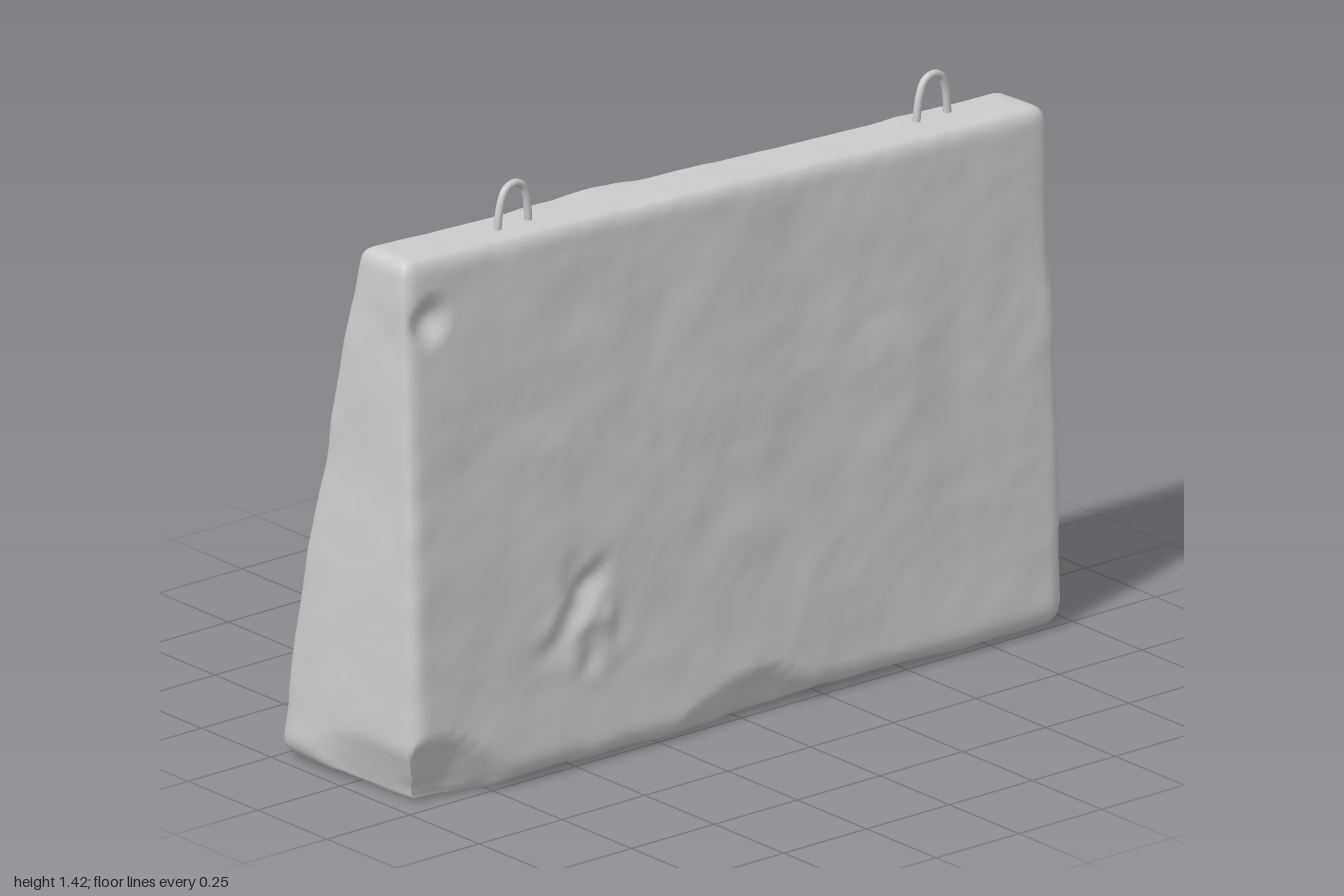
import * as THREE from 'three';
import { mergeVertices } from 'three/addons/utils/BufferGeometryUtils.js';

const { clamp, lerp, smoothstep } = THREE.MathUtils;

// Repeatable 3D value noise, about -1 to 1
function hash(i, j, k) {
  const s = Math.sin(i * 127.1 + j * 311.7 + k * 74.7) * 43758.5453;
  return (s - Math.floor(s)) * 2 - 1;
}
function noise(x, y, z) {
  const i = Math.floor(x), j = Math.floor(y), k = Math.floor(z);
  const u = smoothstep(x - i, 0, 1), v = smoothstep(y - j, 0, 1), w = smoothstep(z - k, 0, 1);
  const row = (b, c) => lerp(hash(i, b, c), hash(i + 1, b, c), u);
  const layer = (c) => lerp(row(j, c), row(j + 1, c), v);
  return lerp(layer(k), layer(k + 1), w);
}

// Soft bump: 1 at the centre, 0 from distance 1 outwards
const bump = (d) => (Math.abs(d) < 1 ? (1 - d * d) ** 2 : 0);

// Height of the broken lower front edge along x
function chipHeight(x) {
  const corner = 0.19 * (1 - smoothstep(x, -1.05, -0.5));
  const middle = 0.11 * bump((x + 0.03) / 0.32) + 0.05 * bump((x - 0.32) / 0.2);
  return corner + middle + 0.02 + 0.025 * noise(x * 9, 3.3, 1.7);
}

const HEIGHT = 1.3;

// Wedge-shaped slab with rounded, worn edges
function slabGeometry() {
  let g = new THREE.BoxGeometry(2, HEIGHT, 2, 110, 72, 26);
  g.deleteAttribute('uv');
  g.deleteAttribute('normal');
  g = mergeVertices(g, 1e-4);
  const pos = g.attributes.position;
  const p = new THREE.Vector3(), q = new THREE.Vector3(), n = new THREE.Vector3();

  for (let i = 0; i < pos.count; i++) {
    p.fromBufferAttribute(pos, i);
    p.y += HEIGHT / 2;
    const t = p.y / HEIGHT;
    const front = lerp(0.272, 0.168, t), back = lerp(-0.287, -0.01, t);
    const half = (front - back) / 2, mid = (front + back) / 2;
    p.z *= half;

    // round the edges, more at the foot
    const r = lerp(0.06, 0.032, smoothstep(t, 0, 0.25));
    q.set(clamp(p.x, -1 + r, 1 - r), clamp(p.y, r, HEIGHT - r), clamp(p.z, r - half, half - r));
    n.subVectors(p, q).normalize();
    p.copy(q).addScaledVector(n, r);
    p.z += mid;

    // trimmed corners at the back
    const over = Math.abs(p.x) - 0.9;
    if (over > 0 && p.z < mid) p.z += over * 0.3 * (1 - t) * ((mid - p.z) / half);

    // lean of the two ends and slope of the top
    const s = (p.x + 1) / 2, h = p.y / HEIGHT;
    p.x = lerp(lerp(-0.995, -0.945, h), lerp(0.975, 0.995, h), s);
    p.y = 0.008 + p.y * (lerp(1.325, 1.25, s) - 0.008) / HEIGHT;

    // broken lower front edge and left corner
    const cut = chipHeight(p.x) - p.y;
    if (cut > 0) p.z = Math.min(p.z, front - cut * 0.45 + 0.01 * noise(p.x * 14, p.y * 14, 5));
    const footCut = 0.17 - p.y;
    if (footCut > 0) p.x = Math.max(p.x, -1 + footCut * 0.35 * smoothstep(p.z, -0.2, 0.1));

    // surface unevenness, stronger on the edges
    const edge = Math.max(Math.abs(n.x), Math.abs(n.y), Math.abs(n.z)) < 0.97 ? 1.4 : 1;
    const rough = 0.005 * noise(p.x * 4 + 9, p.y * 4, p.z * 4)
      + 0.003 * noise(p.x * 9, p.y * 9 + 5, p.z * 9)
      + 0.001 * noise(p.x * 24, p.y * 24, p.z * 24 + 2);
    p.addScaledVector(n, rough * edge);

    // notch and gouge in the front face
    if (n.z > 0.5) {
      p.z -= 0.03 * bump(Math.hypot(p.x + 0.88, p.y - 1.17) / 0.065);
      const a = (p.x + 0.48) * 0.7 + (p.y - 0.4) * 0.7;
      const b = (p.x + 0.48) * 0.7 - (p.y - 0.4) * 0.7;
      p.z -= 0.018 * bump(Math.hypot(a / 0.16, b / 0.05));
      p.z += 0.014 * bump(Math.hypot(p.x + 0.47, p.y - 0.36) / 0.2) * noise(p.x * 20, p.y * 20, 8);
    }
    p.x = clamp(p.x, -1, 1);
    p.y = Math.max(p.y, 0);
    pos.setXYZ(i, p.x, p.y, p.z);
  }
  g.computeVertexNormals();
  return g;
}

// Bent steel lifting loop
function loopGeometry() {
  const pts = [[-0.052, -0.04], [-0.05, 0.01], [-0.042, 0.06], [-0.027, 0.09], [0, 0.1],
    [0.027, 0.09], [0.042, 0.06], [0.05, 0.01], [0.052, -0.04]];
  const path = new THREE.CatmullRomCurve3(pts.map(([x, y]) => new THREE.Vector3(x, y, 0)));
  return new THREE.TubeGeometry(path, 40, 0.0095, 10);
}

export function createModel() {
  const group = new THREE.Group();
  group.name = 'concreteBlock';
  const concrete = new THREE.MeshStandardMaterial({ color: 0xcccccc });
  concrete.name = 'concrete grey';

  const slab = new THREE.Mesh(slabGeometry(), concrete);
  slab.name = 'slab';
  group.add(slab);

  const loop = loopGeometry();
  const places = [['rightLiftingLoop', -0.555, 1.31, 0.09], ['leftLiftingLoop', 0.735, 1.262, 0.06]];
  for (const [name, x, y, z] of places) {
    const mesh = new THREE.Mesh(loop, concrete);
    mesh.name = name;
    mesh.position.set(x, y, z);
    mesh.rotation.set(0, 0.1, -0.03);
    group.add(mesh);
  }
  return group;
}
